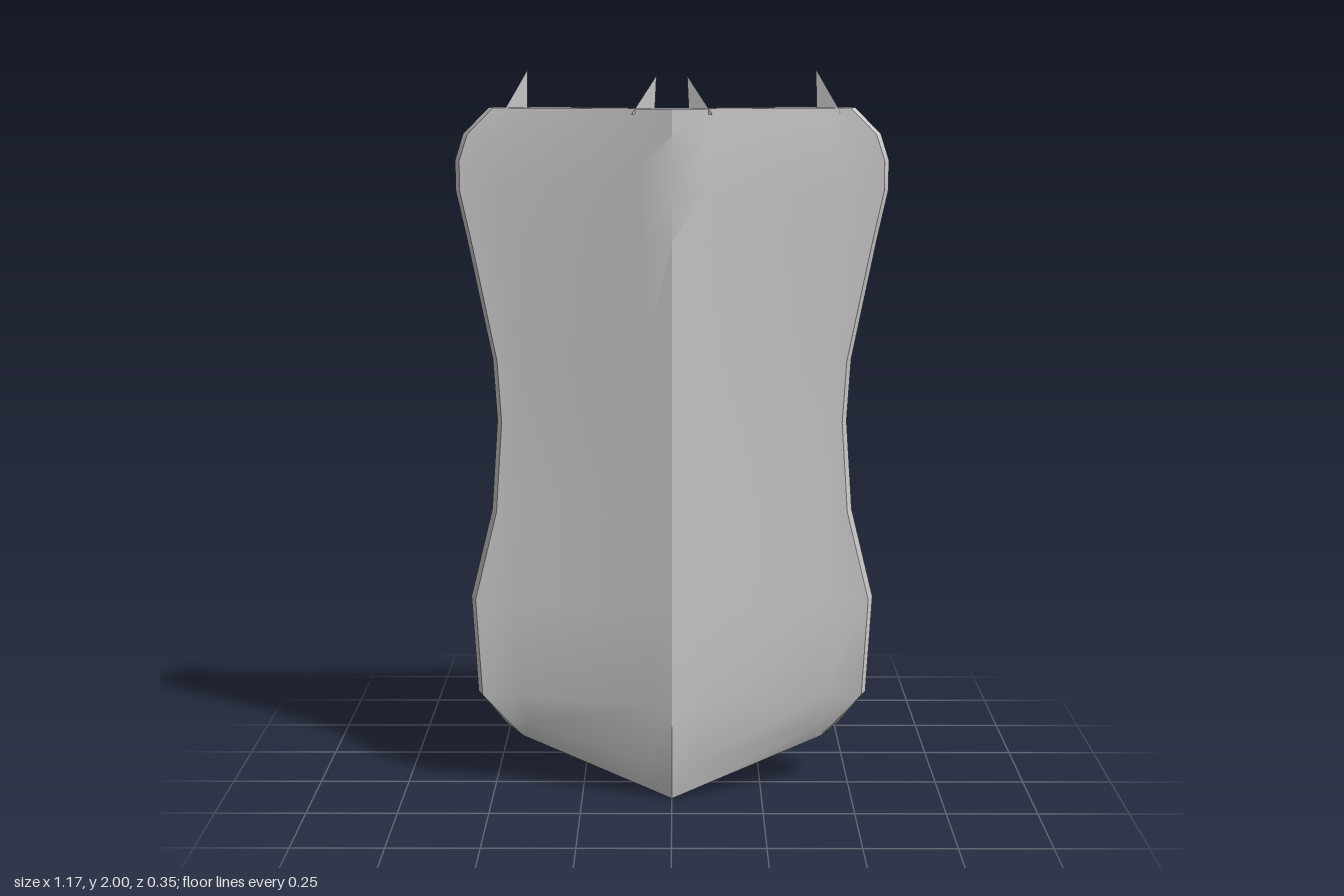
import * as THREE from 'three';
import { toCreasedNormals } from 'three/addons/utils/BufferGeometryUtils.js';

const material = new THREE.MeshStandardMaterial({ color: 0xcccccc });
const flatMaterial = new THREE.MeshStandardMaterial({ color: 0xcccccc, flatShading: true });

// Half section from front ridge round the rim to the back valley: [x, y, z]
function halfSection(y, w, front, back) {
  return [
    [0, y, 0.175], [0.08, y, 0.175 - 0.08 * 0.115 / front], [front, y, 0.06],
    [w - 0.015, y, 0.055], [w, y, 0.015], [w - 0.025, y, -0.03],
    [back, y, -0.03], [0.08, y, 0.09 - 0.08 * 0.12 / back], [0, y, 0.09],
  ];
}

// Close the half section into a full ring by mirroring it in x
function ring(half) {
  const left = half.slice(1, -1).reverse().map(([x, y, z]) => [-x, y, z]);
  return [...half, ...left];
}

function plateGeometry() {
  // Pointed lower edge, then the chamfer above it
  const edge = [
    [0, 0, 0.135], [0.08, 0.027, 0.111], [0.41, 0.137, 0.013],
    [0.42, 0.14, 0.01], [0.43, 0.145, 0.005], [0.42, 0.14, 0.005],
    [0.36, 0.12, 0.027], [0.08, 0.027, 0.111], [0, 0, 0.135],
  ];
  const chamfer = [
    [0, 0.1, 0.163], [0.07, 0.1, 0.135], [0.4, 0.175, 0.03],
    [0.45, 0.18, 0.035], [0.47, 0.182, 0.01], [0.45, 0.18, -0.02],
    [0.36, 0.17, -0.015], [0.07, 0.13, 0.075], [0, 0.13, 0.092],
  ];
  // Height, half width, front crease x, back crease x
  const rows = [
    [0.275, 0.545, 0.43, 0.40], [0.55, 0.56, 0.44, 0.39], [0.8, 0.498, 0.415, 0.33],
    [1.05, 0.48, 0.41, 0.30], [1.22, 0.49, 0.42, 0.33], [1.55, 0.555, 0.45, 0.40],
    [1.68, 0.583, 0.463, 0.42], [1.76, 0.583, 0.463, 0.42], [1.83, 0.56, 0.44, 0.41],
    [1.9, 0.49, 0.41, 0.39],
  ];
  const rings = [edge, chamfer, ...rows.map((r) => halfSection(...r))].map(ring);
  const n = rings[0].length;
  const index = [];
  for (let r = 0; r < rings.length - 1; r++) {
    for (let i = 0; i < n; i++) {
      const a = r * n + i, b = r * n + (i + 1) % n;
      index.push(a, b, b + n, a, b + n, a + n);
    }
  }
  // Flat top, fanned from the back valley
  const top = (rings.length - 1) * n, valley = 8;
  for (let k = 1; k < n - 1; k++) {
    index.push(top + valley, top + (valley + k) % n, top + (valley + k + 1) % n);
  }
  const geometry = new THREE.BufferGeometry();
  geometry.setAttribute('position', new THREE.Float32BufferAttribute(rings.flat(2), 3));
  geometry.setIndex(index);
  return toCreasedNormals(geometry, 0.5);
}

// Three-sided spike leaning toward the middle
function spike(side, xOuter, xInner, z, tipX, tipY) {
  const base = [[xOuter, z - 0.024], [xOuter, z + 0.024], [xInner, z]];
  const points = [...base.map(([x, bz]) => [side * x, 1.885, bz]), [side * tipX, tipY, z]];
  const faces = [0, 1, 3, 1, 2, 3, 2, 0, 3, 0, 2, 1];
  if (side > 0) faces.reverse();
  const geometry = new THREE.BufferGeometry();
  geometry.setAttribute('position', new THREE.Float32BufferAttribute(points.flat(), 3));
  geometry.setIndex(faces);
  const flat = geometry.toNonIndexed();
  flat.computeVertexNormals();
  const mesh = new THREE.Mesh(flat, flatMaterial);
  mesh.name = 'spike';
  return mesh;
}

// Cross bar bent upward at the middle, with a leg at each end
function handle(name, halfWidth, y, height, rise, legWidth) {
  const group = new THREE.Group();
  group.name = name;
  const shape = new THREE.Shape([
    [-halfWidth, y], [0, y + rise], [halfWidth, y],
    [halfWidth, y + height], [0, y + rise + height], [-halfWidth, y + height],
  ].map(([px, py]) => new THREE.Vector2(px, py)));
  const bar = new THREE.Mesh(
    new THREE.ExtrudeGeometry(shape, { depth: 0.04, bevelEnabled: false }), flatMaterial);
  bar.position.z = -0.178;
  bar.name = 'crossBar';
  group.add(bar);
  for (const side of [-1, 1]) {
    const leg = new THREE.Mesh(new THREE.BoxGeometry(legWidth, height, 0.148), flatMaterial);
    leg.position.set(side * (halfWidth - legWidth / 2), y + height / 2, -0.094);
    leg.name = 'handleLeg';
    group.add(leg);
  }
  return group;
}

export function createModel() {
  const model = new THREE.Group();
  model.name = 'shield';
  const plate = new THREE.Mesh(plateGeometry(), material);
  plate.name = 'plate';
  model.add(plate);
  for (const side of [-1, 1]) {
    model.add(spike(side, 0.45, 0.385, 0.036, 0.383, 2.0));
    model.add(spike(side, 0.106, 0.045, 0.128, 0.04, 1.985));
  }
  model.add(handle('upperHandle', 0.505, 1.495, 0.062, 0.052, 0.06));
  model.add(handle('lowerHandle', 0.445, 1.06, 0.045, 0.018, 0.05));
  return model;
}
